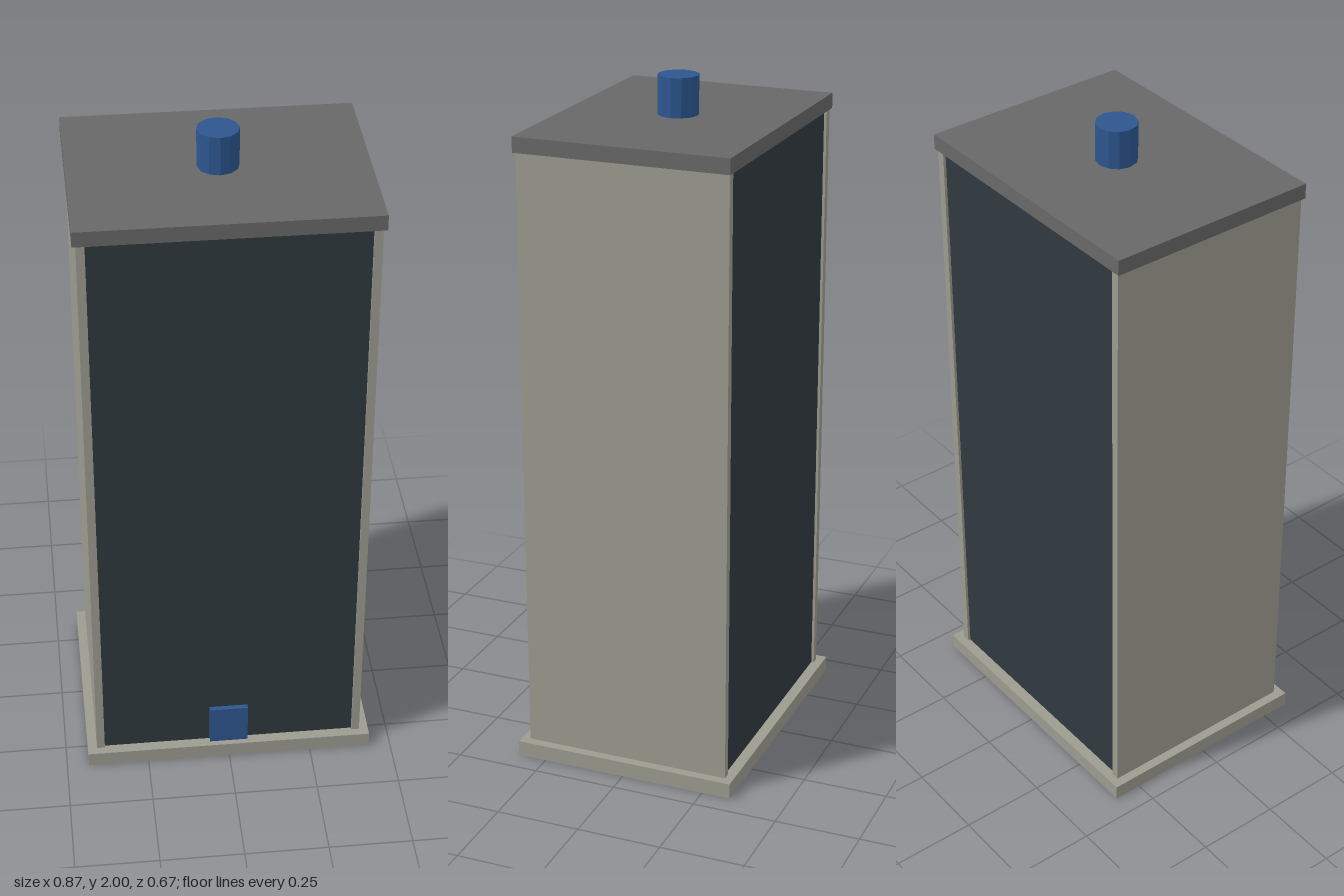
import * as THREE from 'three';

export function createModel() {
  const group = new THREE.Group();
  const mat = (name, color) => {
    const m = new THREE.MeshStandardMaterial({ color });
    m.name = name;
    return m;
  };
  const stone = mat('warm grey', 0x9c9b90);
  const lidGrey = mat('dark grey', 0x686868);
  const slate = mat('slate', 0x30393f);
  const blue = mat('blue', 0x2d568f);

  // Box given by its x centre, bottom, top, z centre, width and depth
  const box = (name, material, x, y0, y1, z, w, d) => {
    const mesh = new THREE.Mesh(new THREE.BoxGeometry(w, y1 - y0, d), material);
    mesh.position.set(x, (y0 + y1) / 2, z);
    mesh.name = name;
    group.add(mesh);
  };

  // Base slab and lid
  box('base', stone, 0, 0.001, 0.047, 0, 0.868, 0.672);
  box('lid', lidGrey, 0, 1.842, 1.887, 0, 0.832, 0.632);

  // Side walls, with a slightly recessed core showing front and back
  for (const s of [-1, 1]) {
    box(s > 0 ? 'leftWall' : 'rightWall', stone, s * 0.394, 0.047, 1.842, 0, 0.024, 0.622);
  }
  box('core', slate, 0, 0.047, 1.842, 0, 0.764, 0.606);

  // Front tab, reaching down through the base
  box('frontTab', blue, 0, 0, 0.176, 0.307, 0.116, 0.023);

  // Faceted knob on the lid
  const knobGeometry = new THREE.CylinderGeometry(0.059, 0.059, 0.113, 12).toNonIndexed();
  knobGeometry.computeVertexNormals();
  const knob = new THREE.Mesh(knobGeometry, blue);
  knob.position.y = 1.9435;
  knob.name = 'knob';
  group.add(knob);

  return group;
}
